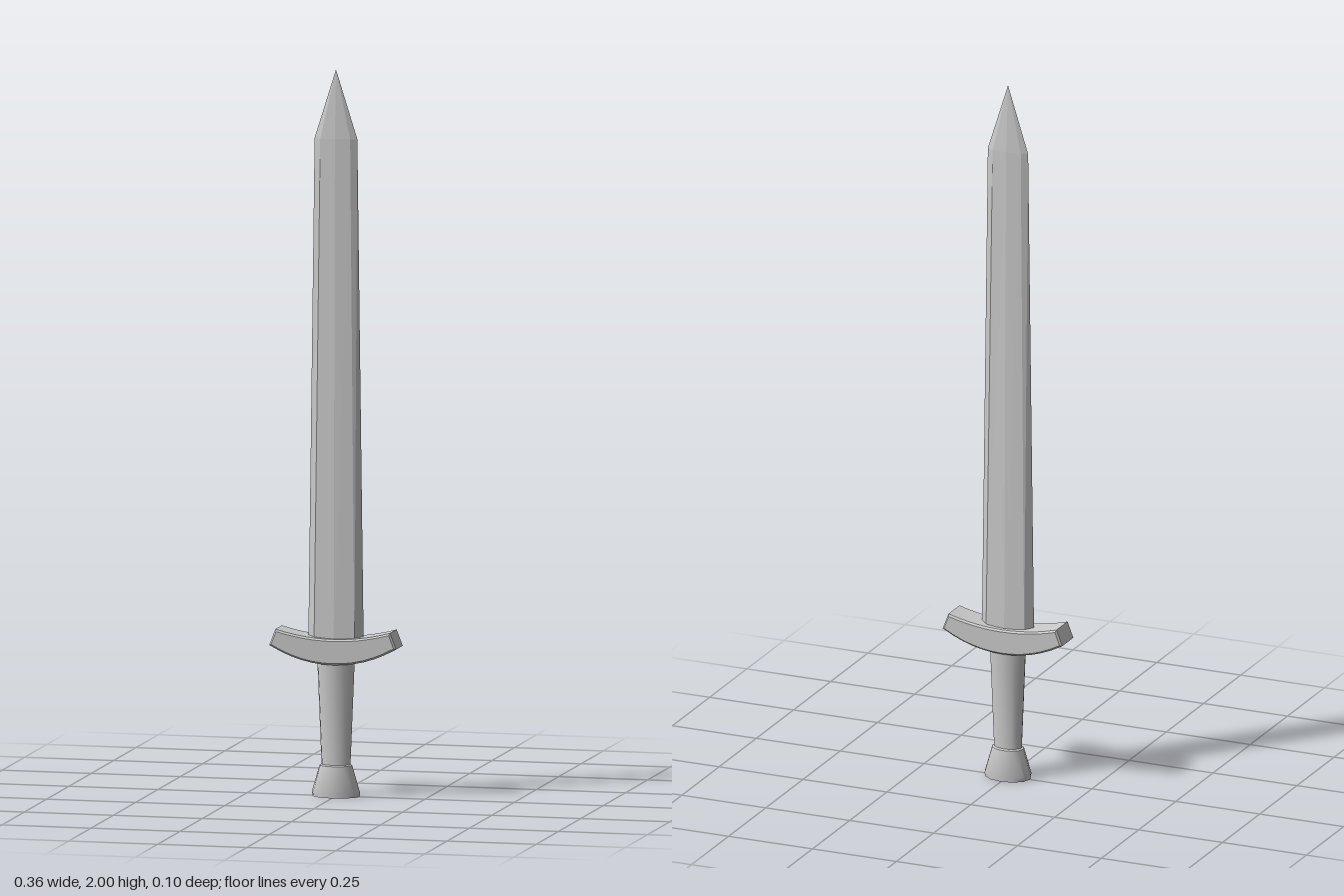
import * as THREE from 'three';
import { toCreasedNormals } from 'three/addons/utils/BufferGeometryUtils.js';

const smoothGrey = new THREE.MeshStandardMaterial({ color: 0xcccccc });
const flatGrey = new THREE.MeshStandardMaterial({ color: 0xcccccc, flatShading: true });

function add(group, name, geometry, material) {
  const mesh = new THREE.Mesh(geometry, material);
  mesh.name = name;
  group.add(mesh);
}

// Eight-sided blade: sections of [y, edge x, shoulder x, shoulder z, ridge z]
function bladeGeometry() {
  const sections = [
    [0.4, 0.078, 0.057, 0.02, 0.026],
    [1.81, 0.06, 0.042, 0.009, 0.013],
    [2, 0, 0, 0, 0],
  ];
  const positions = [];
  const index = [];
  for (const [y, ex, sx, sz, rz] of sections) {
    const ring = [[ex, 0], [sx, sz], [0, rz], [-sx, sz], [-ex, 0], [-sx, -sz], [0, -rz], [sx, -sz]];
    for (const [x, z] of ring) positions.push(x, y, z);
  }
  for (let s = 0; s < sections.length - 1; s++) {
    for (let i = 0; i < 8; i++) {
      const a = s * 8 + i;
      const b = s * 8 + ((i + 1) % 8);
      index.push(a, a + 8, b);
      if (s === 0) index.push(b, a + 8, b + 8);
    }
  }
  for (let i = 1; i < 7; i++) index.push(0, i, i + 1);
  const geometry = new THREE.BufferGeometry();
  geometry.setAttribute('position', new THREE.Float32BufferAttribute(positions, 3));
  geometry.setIndex(index);
  const flat = geometry.toNonIndexed();
  flat.computeVertexNormals();
  return flat;
}

// Upward-curving crossguard with a fine bevel
function guardGeometry() {
  const bevel = 0.005;
  const shape = new THREE.Shape();
  shape.moveTo(-0.172, 0.417);
  shape.quadraticCurveTo(-0.09, 0.37, 0, 0.37);
  shape.quadraticCurveTo(0.09, 0.37, 0.172, 0.417);
  shape.lineTo(0.158, 0.453);
  shape.quadraticCurveTo(0.08, 0.431, 0, 0.431);
  shape.quadraticCurveTo(-0.08, 0.431, -0.158, 0.453);
  shape.closePath();
  const geometry = new THREE.ExtrudeGeometry(shape, {
    depth: 0.084 - 2 * bevel,
    bevelEnabled: true,
    bevelThickness: bevel,
    bevelSize: bevel,
    bevelSegments: 1,
    curveSegments: 6,
  });
  geometry.translate(0, 0, -0.042 + bevel);
  return toCreasedNormals(geometry, 0.5);
}

// Turned part flattened front to back
function ovalTurning(profile, depthRatio) {
  const points = profile.map(([r, y]) => new THREE.Vector2(r, y));
  const geometry = new THREE.LatheGeometry(points, 12);
  geometry.scale(1, 1, depthRatio);
  return toCreasedNormals(geometry, 0.7);
}

export function createModel() {
  const sword = new THREE.Group();
  sword.name = 'sword';
  add(sword, 'blade', bladeGeometry(), flatGrey);
  add(sword, 'crossguard', guardGeometry(), smoothGrey);
  add(sword, 'grip', ovalTurning([[0, 0.07], [0.04, 0.07], [0.053, 0.385], [0, 0.385]], 0.68), smoothGrey);
  add(sword, 'pommel', ovalTurning([[0, 0], [0.066, 0], [0.068, 0.01], [0.046, 0.085], [0.04, 0.088], [0, 0.088]], 0.73), smoothGrey);
  return sword;
}
